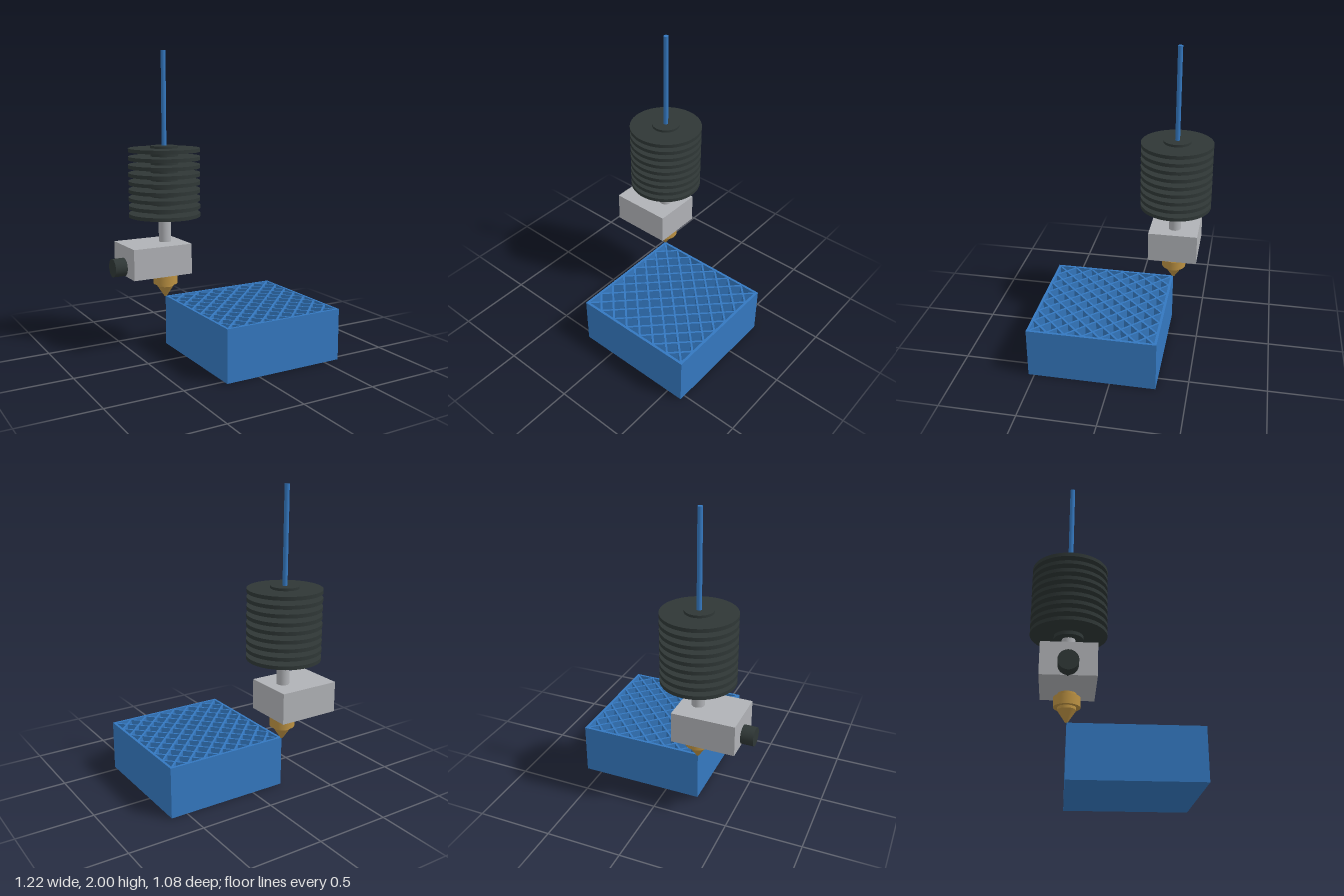
import * as THREE from 'three';

const mat = (name, color) => {
  const m = new THREE.MeshStandardMaterial({ color });
  m.name = name;
  return m;
};

export function createModel() {
  const blue = mat('blue plastic', 0x3478c0);
  const dark = mat('dark anodised metal', 0x2f3736);
  const grey = mat('grey aluminium', 0xb0b2b6);
  const brass = mat('brass', 0xbb9142);

  const root = new THREE.Group();
  root.name = 'hotEndAndPrint';
  const add = (parent, name, geometry, material, x = 0, y = 0, z = 0) => {
    const mesh = new THREE.Mesh(geometry, material);
    mesh.name = name;
    mesh.position.set(x, y, z);
    parent.add(mesh);
    return mesh;
  };
  // Upright cylinder between two heights
  const rod = (parent, name, r, y0, y1, material, sides = 48) =>
    add(parent, name, new THREE.CylinderGeometry(r, r, y1 - y0, sides), material, 0, (y0 + y1) / 2);

  // Hot end, gathered around the nozzle axis
  const hotEnd = new THREE.Group();
  hotEnd.name = 'hotEnd';
  hotEnd.position.set(-0.228, 0, -0.3);
  root.add(hotEnd);

  rod(hotEnd, 'filament', 0.016, 1.37, 2, blue, 16);
  rod(hotEnd, 'heatSinkCore', 0.092, 0.875, 1.375, dark);
  for (let i = 0; i < 9; i++) {
    const y = 0.91 + i * 0.0546;
    rod(hotEnd, 'coolingFin', 0.241, y - 0.012, y + 0.012, dark, 64);
  }
  rod(hotEnd, 'heatBreak', 0.042, 0.72, 0.88, grey, 32);
  add(hotEnd, 'heaterBlock', new THREE.BoxGeometry(0.418, 0.205, 0.335), grey, -0.093, 0.622, 0.002);
  add(hotEnd, 'heaterCartridge', new THREE.CylinderGeometry(0.061, 0.061, 0.1, 32), dark,
    -0.335, 0.58, 0).rotation.z = Math.PI / 2;

  // Nozzle: straight collars, then a conical tip
  rod(hotEnd, 'nozzleNeck', 0.057, 0.49, 0.522, brass);
  rod(hotEnd, 'nozzleCollar', 0.082, 0.432, 0.495, brass);
  rod(hotEnd, 'nozzleLowerNeck', 0.057, 0.415, 0.433, brass);
  add(hotEnd, 'nozzleTip', new THREE.CylinderGeometry(0.057, 0.008, 0.075, 48), brass, 0, 0.3775);

  // Printed part: outer wall, floor and crossed infill
  const print = new THREE.Group();
  print.name = 'printedPart';
  print.position.set(0.191, 0, 0.12);
  root.add(print);

  const H = 0.419, inner = 0.402, height = 0.34;
  const square = (Type, h) => new Type([[-h, -h], [h, -h], [h, h], [-h, h]]
    .map(([x, y]) => new THREE.Vector2(x, y)));
  const outline = square(THREE.Shape, H);
  outline.holes.push(square(THREE.Path, inner));
  const wall = new THREE.ExtrudeGeometry(outline, { depth: height, bevelEnabled: false });
  wall.rotateX(-Math.PI / 2);
  add(print, 'outerWall', wall, blue);
  add(print, 'floor', new THREE.BoxGeometry(inner * 2, 0.02, inner * 2), blue, 0, 0.01);

  const pitch = 0.115, ribTop = 0.338;
  for (const side of [1, -1]) {
    for (let k = -6; k <= 6; k++) {
      const c = k * pitch;
      const length = (2 * inner - Math.abs(c)) * Math.SQRT2;
      const rib = add(print, 'infillRib', new THREE.BoxGeometry(length, ribTop - 0.01, 0.013), blue,
        c / 2, (ribTop + 0.01) / 2, -side * c / 2);
      rib.rotation.y = -side * Math.PI / 4;
    }
  }
  return root;
}
